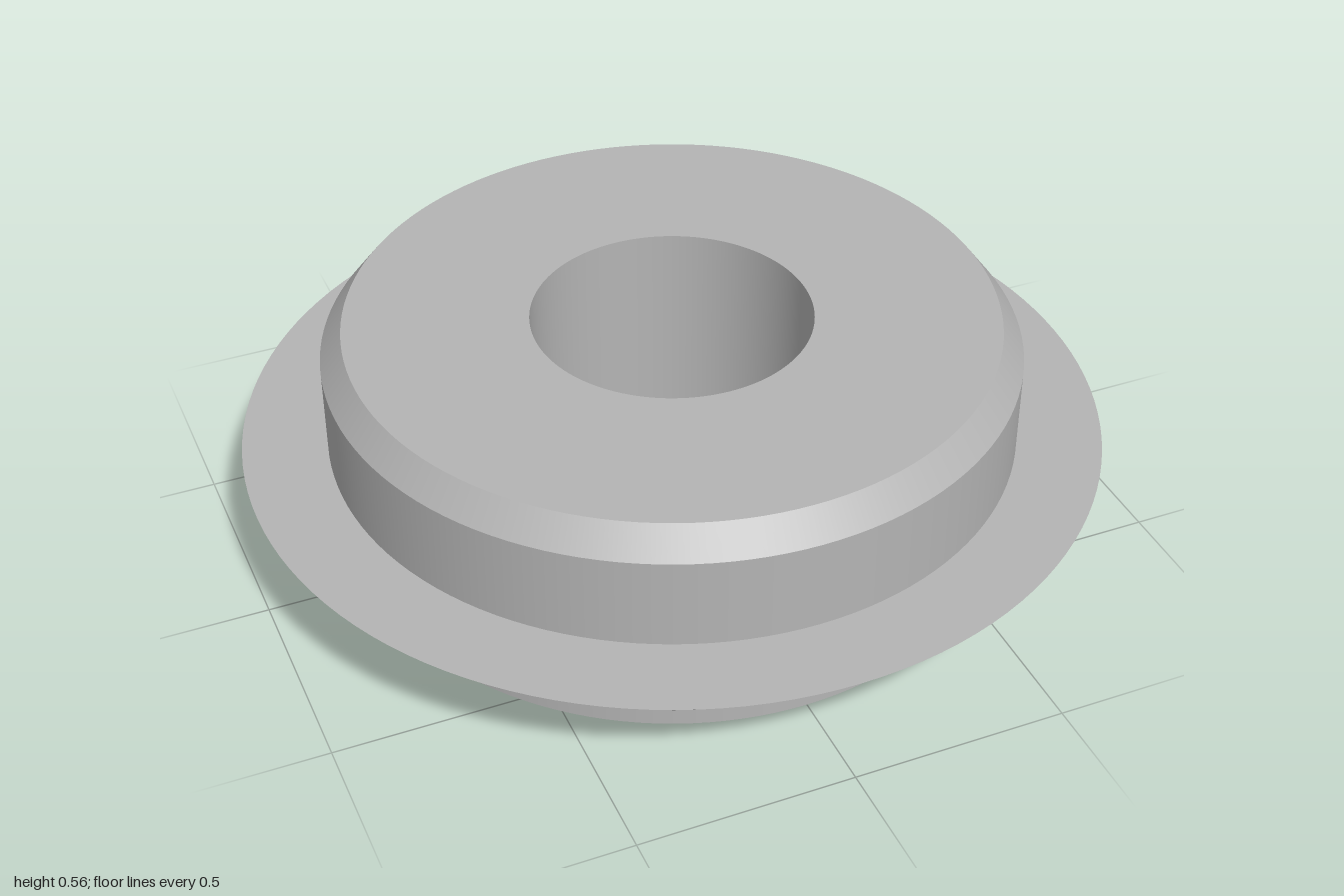
import * as THREE from 'three';

export function createModel() {
  const group = new THREE.Group();
  group.name = 'flangedBushing';
  const steel = new THREE.MeshStandardMaterial({ color: 0xb4b4b4 });
  steel.name = 'grey metal';

  // Closed ring profile [radius, height], counter-clockwise from the bore's bottom edge;
  // each band is its own lathe so the edges between bands stay crisp
  const profile = [
    ['bottomFace', 0.325, 0],
    ['baseRim', 0.76, 0],
    ['flangeCone', 0.76, 0.04],
    ['flangeTop', 1, 0.27],
    ['collarWall', 0.803, 0.27],
    ['collarChamfer', 0.803, 0.488],
    ['topFace', 0.752, 0.555],
    ['boreWall', 0.325, 0.555],
  ];

  profile.forEach(([name, r, y], i) => {
    const [, r2, y2] = profile[(i + 1) % profile.length];
    const band = new THREE.LatheGeometry([new THREE.Vector2(r, y), new THREE.Vector2(r2, y2)], 128);
    const mesh = new THREE.Mesh(band, steel);
    mesh.name = name;
    group.add(mesh);
  });

  return group;
}
